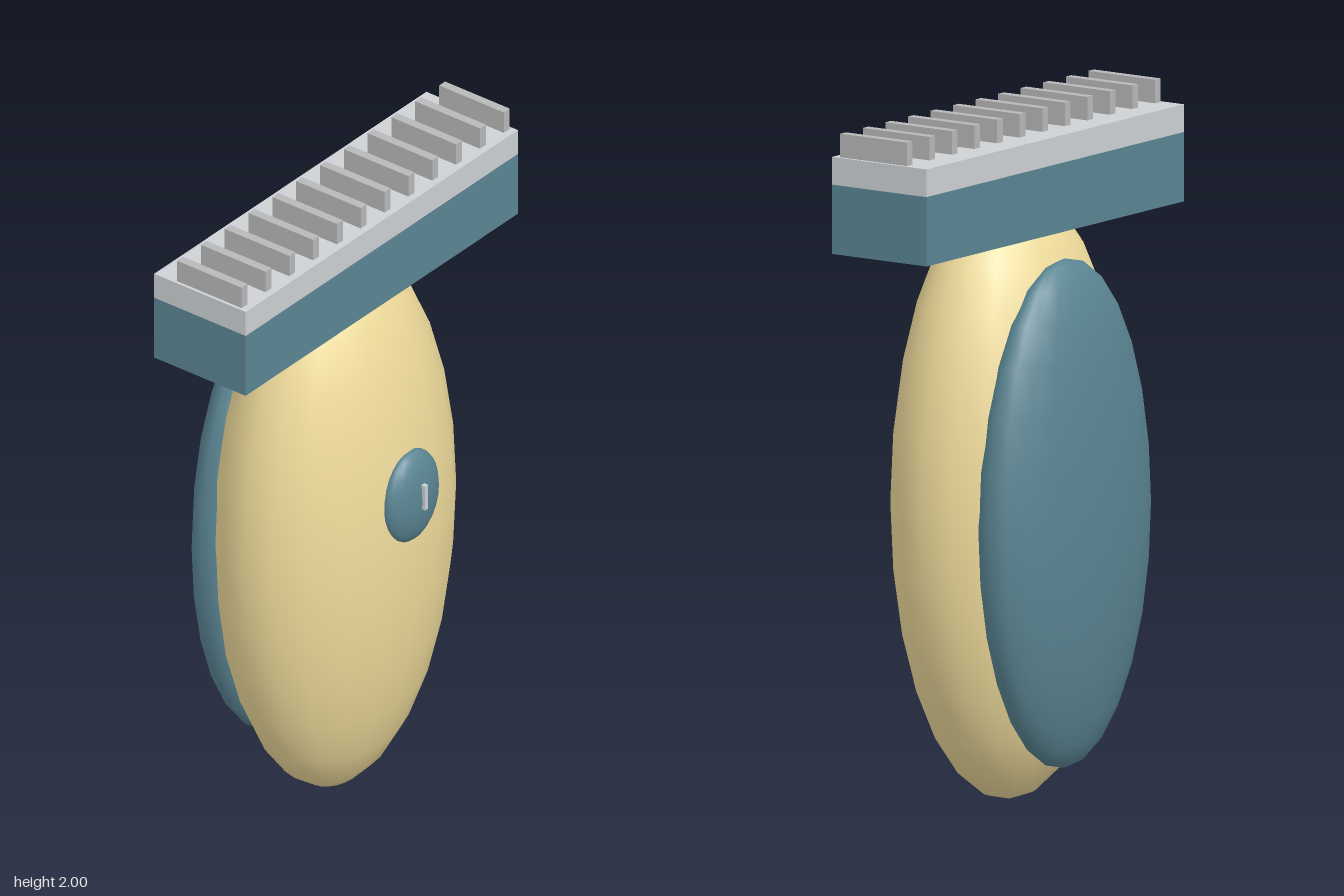
import * as THREE from 'three';

const material = (color) => new THREE.MeshStandardMaterial({ color });

export function createModel() {
  const group = new THREE.Group();
  const cream = material(0xf0dc9c);
  const teal = material(0x5a8593);
  const plateGrey = material(0xcdd1d4);
  const toothGrey = material(0xb8b8b8);

  function add(name, geometry, mat, x, y, z) {
    const mesh = new THREE.Mesh(geometry, mat);
    mesh.name = name;
    mesh.position.set(x, y, z);
    group.add(mesh);
    return mesh;
  }

  // Smooth ellipsoid given by its centre and three radii
  function ellipsoid(name, mat, [x, y, z], [rx, ry, rz]) {
    const geometry = new THREE.SphereGeometry(1, 20, 14).scale(rx, ry, rz);
    geometry.computeVertexNormals();
    // Restore exact normals so the seam stays smooth
    const p = geometry.attributes.position;
    const n = geometry.attributes.normal;
    const v = new THREE.Vector3();
    for (let i = 0; i < p.count; i++) {
      v.fromBufferAttribute(p, i);
      v.set(v.x / (rx * rx), v.y / (ry * ry), v.z / (rz * rz)).normalize();
      n.setXYZ(i, v.x, v.y, v.z);
    }
    return add(name, geometry, mat, x, y, z);
  }

  // Box given by its minimum and maximum corners
  function box(name, mat, [x0, y0, z0], [x1, y1, z1]) {
    const geometry = new THREE.BoxGeometry(x1 - x0, y1 - y0, z1 - z0);
    return add(name, geometry, mat, (x0 + x1) / 2, (y0 + y1) / 2, (z0 + z1) / 2);
  }

  // Handle body with its rear grip and front button
  ellipsoid('handleBody', cream, [0, 0.895, 0.003], [0.42, 0.89, 0.29]);
  ellipsoid('rearGrip', teal, [0, 0.85, -0.19], [0.372, 0.735, 0.145]);
  ellipsoid('button', teal, [0, 1.055, 0.275], [0.117, 0.147, 0.051]);
  box('buttonMark', plateGrey, [-0.007, 1.03, 0.318], [0.007, 1.11, 0.335]);

  // Cutting head
  box('headBlock', teal, [-0.622, 1.652, -0.158], [0.622, 1.852, 0.173]);
  box('headPlate', plateGrey, [-0.622, 1.852, -0.158], [0.622, 1.932, 0.173]);

  // Row of teeth
  const teeth = 12;
  for (let i = 0; i < teeth; i++) {
    const x = -0.599 + (i * 1.198) / (teeth - 1);
    box('tooth', toothGrey, [x - 0.0135, 1.925, -0.083], [x + 0.0135, 2, 0.151]);
  }
  return group;
}
